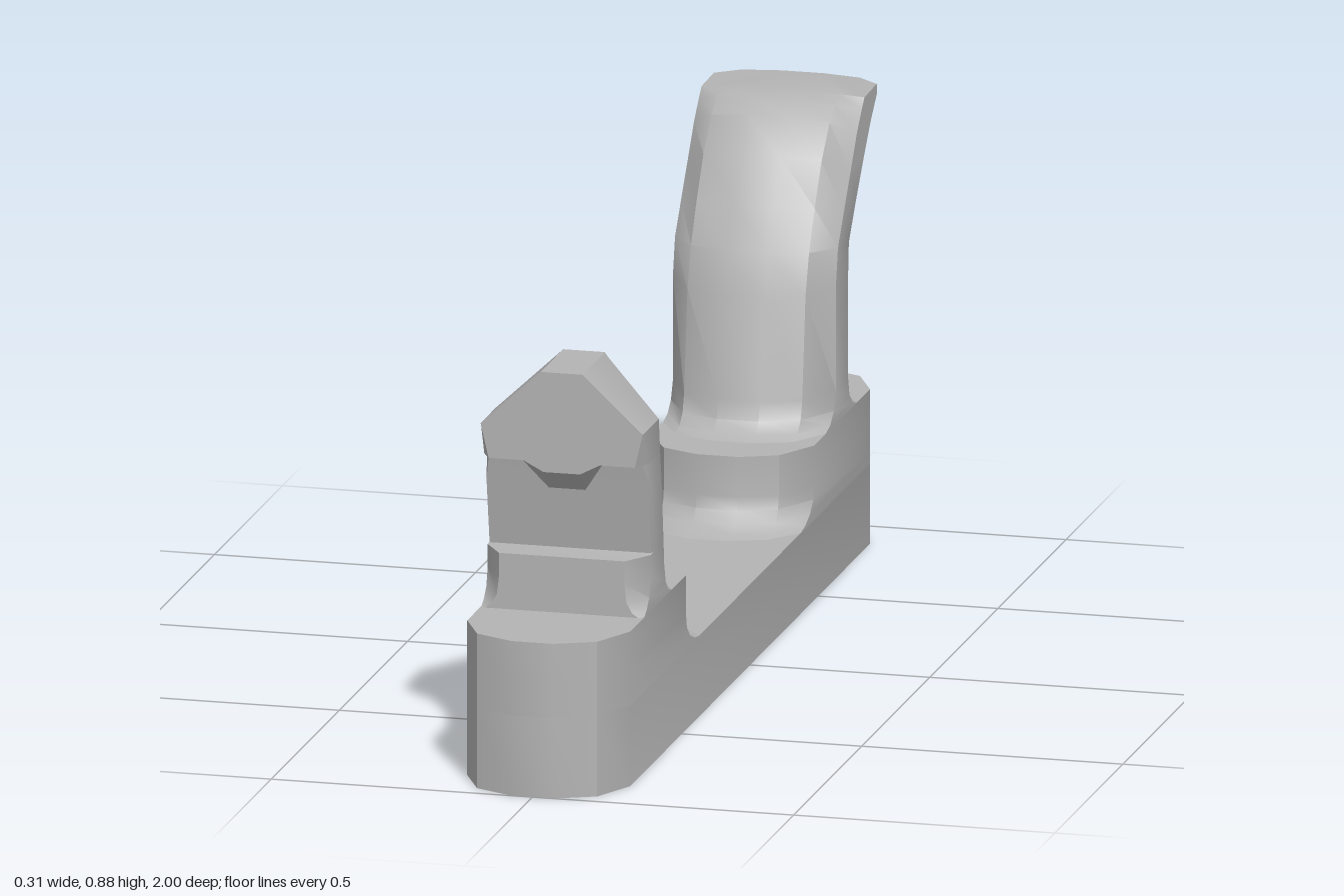
import * as THREE from 'three';
import { toCreasedNormals } from 'three/addons/utils/BufferGeometryUtils.js';
import { ConvexGeometry } from 'three/addons/geometries/ConvexGeometry.js';

const W = 0.156; // half width of the whole bracket

// Skin stacked rings. Each row lists the +x half from low z to high z as [x, y, z].
function loft(rows) {
  const rings = rows.map(h => [...h, ...h.map(([x, y, z]) => [-x, y, z]).reverse()]);
  const n = rings[0].length;
  const index = [];
  for (let i = 0; i < rings.length - 1; i++) {
    for (let j = 0; j < n; j++) {
      const a = i * n + j, b = i * n + (j + 1) % n;
      index.push(a, a + n, b + n, a, b + n, b);
    }
  }
  const top = (rings.length - 1) * n;
  for (let j = 1; j < n - 1; j++) {
    index.push(0, j, j + 1, top, top + j + 1, top + j);
  }
  const g = new THREE.BufferGeometry();
  g.setAttribute('position', new THREE.Float32BufferAttribute(rings.flat(2), 3));
  g.setIndex(index);
  return toCreasedNormals(g, 0.6);
}

export function createModel() {
  const group = new THREE.Group();
  const grey = new THREE.MeshStandardMaterial({ color: 0xb4b4b4 });
  grey.name = 'plain grey';
  const add = (name, geometry) => {
    const mesh = new THREE.Mesh(geometry, grey);
    mesh.name = name;
    group.add(mesh);
    return mesh;
  };

  // Long base plate with faceted ends
  const plate = y => [
    [0.04, y, -1], [0.115, y, -0.965], [W, y, -0.88],
    [W, y, 0.88], [0.115, y, 0.965], [0.04, y, 1],
  ];
  add('basePlate', loft([plate(0), plate(0.155)]));

  // Raised end blocks, flared by a fillet where they meet the plate
  const block = ([y, d]) => [
    [0.04, y, 0.357 - d], [0.11, y, 0.387 - d], [W, y, 0.47 - d * 1.3],
    [W, y, 0.88], [0.115, y, 0.965], [0.04, y, 1],
  ];
  const blockRows = [[0.154, 0.08], [0.16, 0.05], [0.173, 0.023], [0.195, 0.005], [0.22, 0], [0.297, 0]];
  add('frontBlock', loft(blockRows.map(block)));
  add('rearBlock', loft(blockRows.map(block))).rotation.y = Math.PI;

  // Rear hook: z, y of the back centre, back side, front side and front centre edges
  const hookRows = [
    [-0.88, 0.295, -0.79, 0.295, -0.55, 0.295, -0.45, 0.295],
    [-0.855, 0.305, -0.755, 0.305, -0.59, 0.305, -0.485, 0.305],
    [-0.835, 0.325, -0.73, 0.325, -0.615, 0.325, -0.507, 0.325],
    [-0.83, 0.36, -0.72, 0.36, -0.63, 0.36, -0.517, 0.36],
    [-0.83, 0.55, -0.72, 0.56, -0.63, 0.56, -0.55, 0.55],
    [-0.835, 0.62, -0.725, 0.62, -0.645, 0.63, -0.58, 0.63],
    [-0.88, 0.70, -0.78, 0.69, -0.69, 0.69, -0.62, 0.71],
    [-0.94, 0.76, -0.84, 0.76, -0.74, 0.755, -0.67, 0.79],
    [-0.98, 0.805, -0.885, 0.81, -0.785, 0.815, -0.735, 0.85],
    [-1.0, 0.845, -0.93, 0.85, -0.82, 0.85, -0.78, 0.87],
    [-0.985, 0.868, -0.93, 0.87, -0.84, 0.868, -0.82, 0.877],
  ];
  const mix = (a, b) => a + (b - a) * 0.27;
  add('rearHook', loft(hookRows.map(([bz, by, sz, sy, tz, ty, fz, fy]) => [
    [0.04, by, bz], [0.113, mix(by, sy), mix(bz, sz)], [W, sy, sz],
    [W, ty, tz], [0.113, mix(fy, ty), mix(fz, tz)], [0.04, fy, fz],
  ])));

  // Front post with a step, a notch and a pointed head
  // Row: y, three inner z values, side outer [x, z], front corner [x, z]
  const postRows = [
    [0.295, 0.46, 0.49, 0.57, W, 0.78, 0.15, 0.785],
    [0.305, 0.49, 0.52, 0.60, W, 0.76, 0.135, 0.785],
    [0.325, 0.512, 0.542, 0.62, W, 0.74, 0.124, 0.785],
    [0.36, 0.525, 0.555, 0.63, W, 0.73, 0.12, 0.785],
    [0.404, 0.53, 0.56, 0.635, W, 0.73, 0.12, 0.785],
    [0.405, 0.53, 0.56, 0.635, W, 0.70, 0.155, 0.72],
    [0.53, 0.55, 0.58, 0.65, W, 0.725, 0.155, 0.742],
    [0.583, 0.56, 0.59, 0.66, W, 0.735, 0.148, 0.752],
    [0.585, 0.56, 0.59, 0.66, W, 0.755, 0.14, 0.785],
    [0.65, 0.57, 0.60, 0.67, W, 0.78, 0.155, 0.785],
  ].map(([y, a, b, c, sx, sz, fx, fz]) => [
    [0.04, y, a], [0.113, y, b], [W, y, c], [sx, y, sz], [fx, y, fz],
  ]);
  postRows.push([0.62, 0.622, 0.624, 0.78, 0.785].map(z => [0.04, 0.757, z]));
  add('frontPost', loft(postRows));

  // Small tapered lip under the head
  const lip = [];
  for (const s of [-1, 1]) {
    for (const [x, y, z] of [[0.075, 0.586, 0.785], [0.035, 0.565, 0.785], [0.035, 0.525, 0.745], [0.075, 0.586, 0.74]]) {
      lip.push(new THREE.Vector3(s * x, y, z));
    }
  }
  add('headLip', new ConvexGeometry(lip));

  return group;
}
